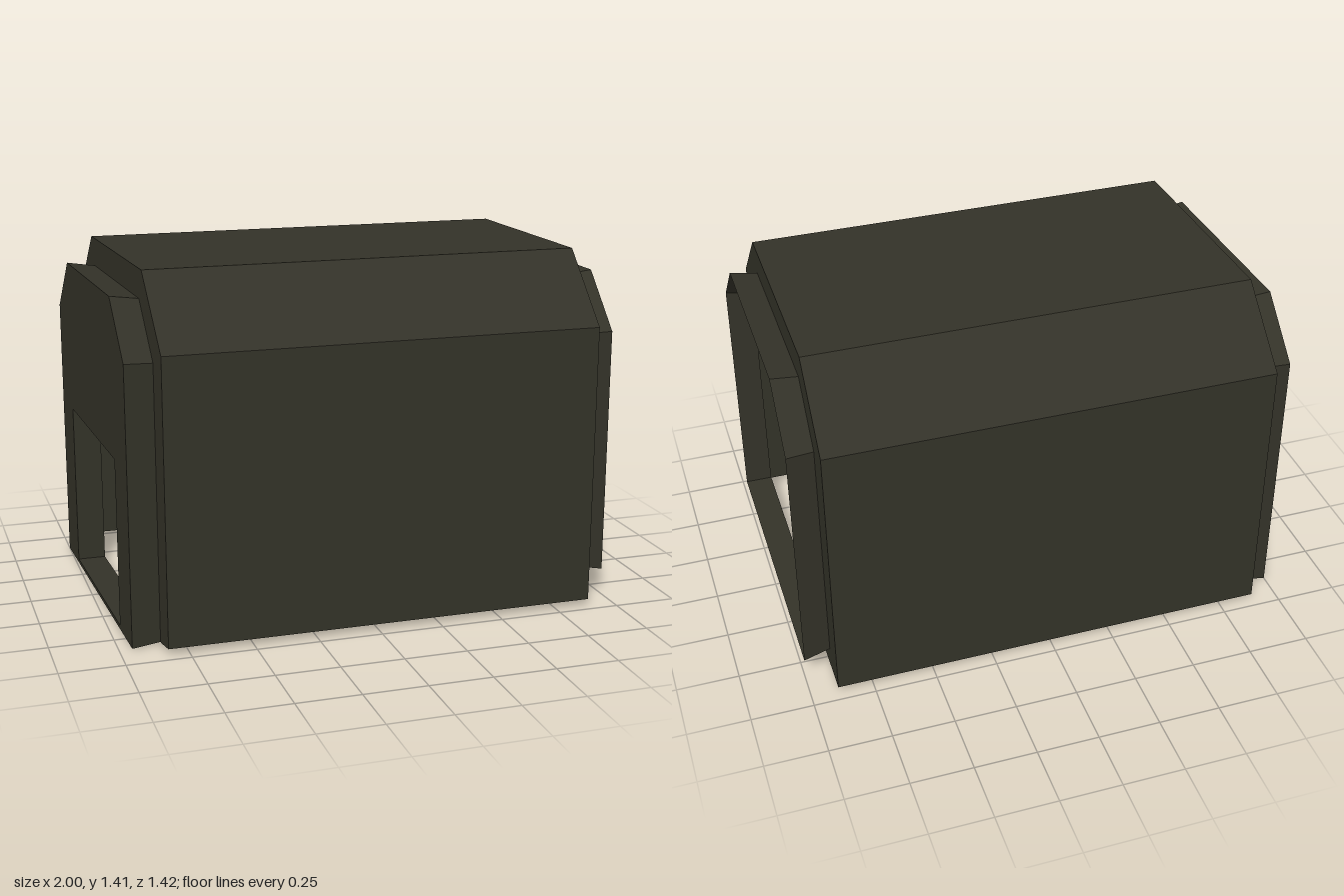
import * as THREE from 'three';

const SLANT = 0.042; // the doorway end is cut at a slight angle across z
const straight = (x) => () => x;
const slanted = (x) => (z) => x + SLANT * z;

// Arch with chamfered shoulders as [z, y] points, from one foot over the top to the other
const arch = (w, foot, shoulder, topW, top) => [
  [w, foot], [w, shoulder], [topW, top], [-topW, top], [-w, shoulder], [-w, foot],
];
const ring = (pts, xAt) => pts.map(([z, y]) => [xAt(z), y, z]);

// Flat-sided surface between two rings with the same number of points
function loft(a, b, closed) {
  const pos = [];
  const n = a.length;
  for (let i = 0; i < (closed ? n : n - 1); i++) {
    const j = (i + 1) % n;
    pos.push(...a[i], ...b[i], ...b[j], ...a[i], ...b[j], ...a[j]);
  }
  const g = new THREE.BufferGeometry();
  g.setAttribute('position', new THREE.Float32BufferAttribute(pos, 3));
  g.computeVertexNormals();
  return g;
}

// Flat panel with a hole, stood up across the x axis
function panel(outline, hole, xAt) {
  const toV = ([z, y]) => new THREE.Vector2(z, y);
  const shape = new THREE.Shape(outline.map(toV));
  shape.holes.push(new THREE.Path(hole.map(toV)));
  const g = new THREE.ShapeGeometry(shape);
  const p = g.attributes.position;
  for (let i = 0; i < p.count; i++) {
    const z = p.getX(i);
    p.setXYZ(i, xAt(z), p.getY(i), z);
  }
  g.computeVertexNormals();
  return g;
}

export function createModel() {
  const group = new THREE.Group();
  group.name = 'shelter';
  const olive = new THREE.MeshStandardMaterial({ color: 0x333228, side: THREE.DoubleSide });
  olive.name = 'darkOlive';
  const add = (name, geometry) => {
    const mesh = new THREE.Mesh(geometry, olive);
    mesh.name = name;
    group.add(mesh);
  };

  const body = arch(0.708, 0.025, 1.143, 0.44, 1.412);
  const openBase = arch(0.585, 0.122, 1.093, 0.39, 1.297);
  const openLip = arch(0.605, 0.107, 1.1, 0.398, 1.313);
  const doorBase = arch(0.585, 0.006, 1.093, 0.39, 1.297);
  const doorLip = arch(0.605, 0, 1.1, 0.398, 1.313);
  const door = [[0.4, 0.016], [0.4, 0.688], [-0.4, 0.688], [-0.4, 0.016]];

  const bodyEnd = straight(0.892);
  const doorInner = slanted(-0.861);
  const doorOuter = slanted(-0.9745);

  // Main shell, open underneath
  add('shell', loft(ring(body, doorInner), ring(body, bodyEnd), false));

  // Open end: stepped face and flared rim
  add('openEndFace', loft(ring(body, bodyEnd), ring(openBase, bodyEnd), true));
  add('openEndRim', loft(ring(openBase, bodyEnd), ring(openLip, straight(1)), true));

  // Doorway end: inner wall, raised rim with sill, outer wall and door lining
  const innerOutline = [...body, [-0.6, 0.006], [0.6, 0.006]];
  add('doorInnerWall', panel(innerOutline, door, doorInner));
  add('doorRim', loft(ring(doorLip, doorOuter), ring(doorBase, doorInner), true));
  add('doorOuterWall', panel(doorLip, door, doorOuter));
  add('doorLining', loft(ring(door, doorInner), ring(door, doorOuter), true));

  return group;
}
